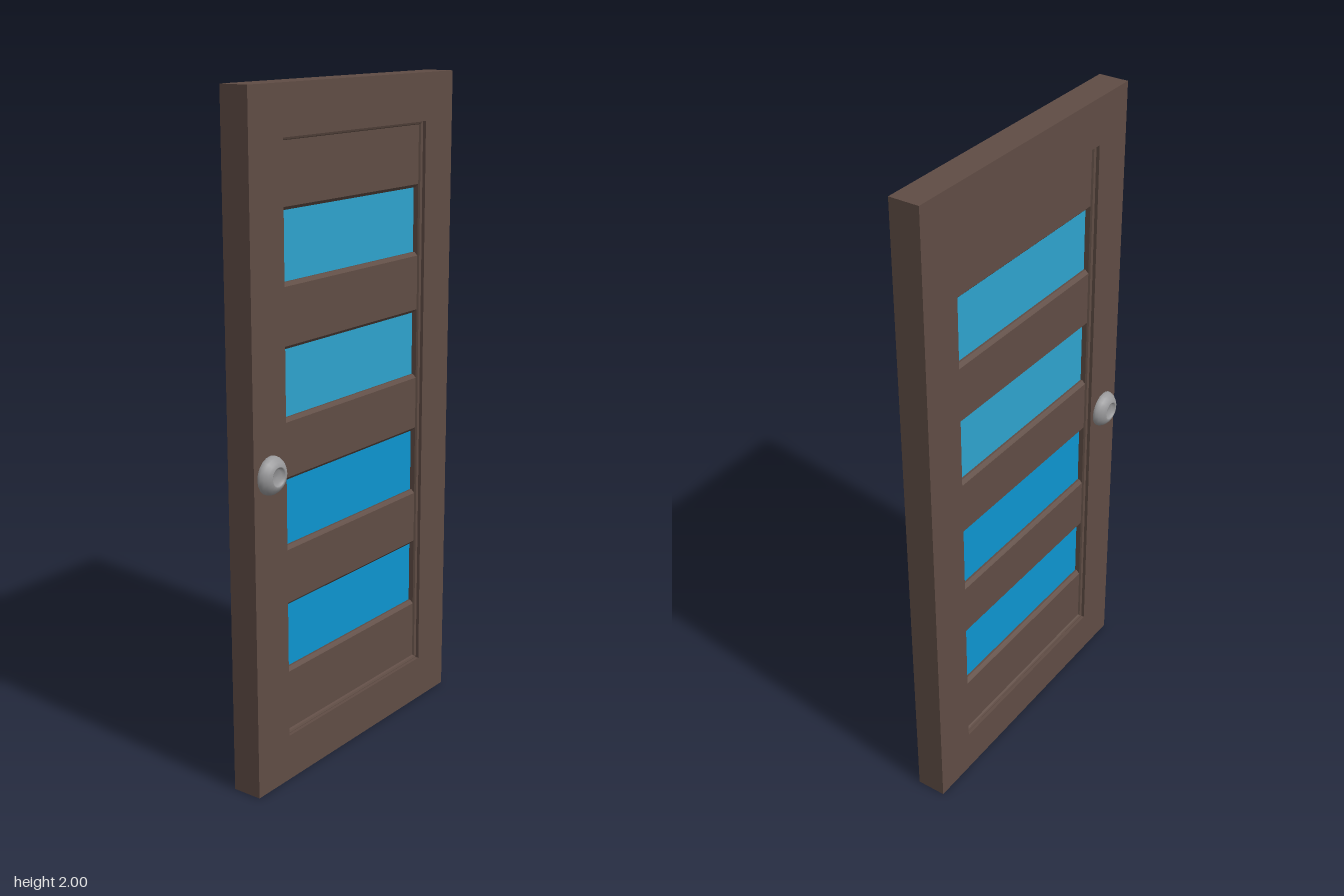
import * as THREE from 'three';

const W = 0.475, H = 2, D = 0.046;          // door half width, height, half depth
const IN_X = 0.335, IN_Y0 = 0.14, IN_Y1 = 1.86; // opening in the frame

// Rectangle with a rectangular hole
function ring(x, y0, y1, hx, hy0, hy1) {
  const rect = (P, a, b, c) => {
    const p = new P();
    p.moveTo(-a, b); p.lineTo(a, b); p.lineTo(a, c); p.lineTo(-a, c); p.closePath();
    return p;
  };
  const s = rect(THREE.Shape, x, y0, y1);
  s.holes.push(rect(THREE.Path, hx, hy0, hy1));
  return s;
}

export function createModel() {
  const group = new THREE.Group();
  const mat = (name, color) => new THREE.MeshStandardMaterial({ name, color });
  const wood = mat('brown wood', 0x5f4c44);
  const paleGlass = mat('light blue glass', 0x2ea3cd);
  const deepGlass = mat('blue glass', 0x0d95cf);
  const metal = mat('grey metal', 0x98989a);

  const add = (name, geometry, material) => {
    const m = new THREE.Mesh(geometry, material);
    m.name = name;
    group.add(m);
    return m;
  };

  // Outer frame of stiles and rails
  const frame = new THREE.ExtrudeGeometry(ring(W, 0, H, IN_X, IN_Y0, IN_Y1), { depth: 2 * D, bevelEnabled: false });
  frame.translate(0, 0, -D);
  add('frame', frame, wood);

  // Bevelled moulding lining the opening
  const b = 0.008, md = 0.036;
  const moulding = new THREE.ExtrudeGeometry(
    ring(IN_X + 0.01, IN_Y0 - 0.01, IN_Y1 + 0.01, IN_X - 0.002, IN_Y0 + 0.002, IN_Y1 - 0.002),
    { depth: 2 * (md - b), bevelThickness: b, bevelSize: b, bevelSegments: 2 });
  moulding.translate(0, 0, -(md - b));
  add('moulding', moulding, wood);

  // Horizontal slats with chamfered long edges
  const d = 0.028, c = 0.01;
  const slats = [[0.14, 0.34], [0.535, 0.715], [0.91, 1.09], [1.285, 1.47], [1.665, 1.86]];
  slats.forEach(([y0, y1]) => {
    const s = new THREE.Shape([
      [-d + c, y0], [d - c, y0], [d, y0 + c], [d, y1 - c],
      [d - c, y1], [-d + c, y1], [-d, y1 - c], [-d, y0 + c],
    ].map(([x, y]) => new THREE.Vector2(x, y)));
    const g = new THREE.ExtrudeGeometry(s, { depth: 2 * IN_X, bevelEnabled: false });
    g.translate(0, 0, -IN_X);
    g.rotateY(Math.PI / 2);
    add('slat', g, wood);
  });

  // Glass panes between the slats
  for (let i = 0; i < 4; i++) {
    const y0 = slats[i][1], y1 = slats[i + 1][0];
    const pane = add('pane', new THREE.BoxGeometry(2 * IN_X, y1 - y0, 0.024), i < 2 ? deepGlass : paleGlass);
    pane.position.y = (y0 + y1) / 2;
  }

  // Round knob with a dished end on each face
  const profile = [[0.05, 0.03], [0.056, 0.046], [0.055, 0.054], [0.05, 0.063], [0.041, 0.072],
    [0.03, 0.078], [0.026, 0.076], [0.02, 0.068], [0, 0.067]].map(([r, y]) => new THREE.Vector2(r, y));
  for (const side of [1, -1]) {
    const knob = add(side > 0 ? 'frontKnob' : 'backKnob', new THREE.LatheGeometry(profile, 20), metal);
    knob.rotation.x = side * Math.PI / 2;
    knob.position.set(-0.405, 0.955, 0);
  }
  return group;
}
